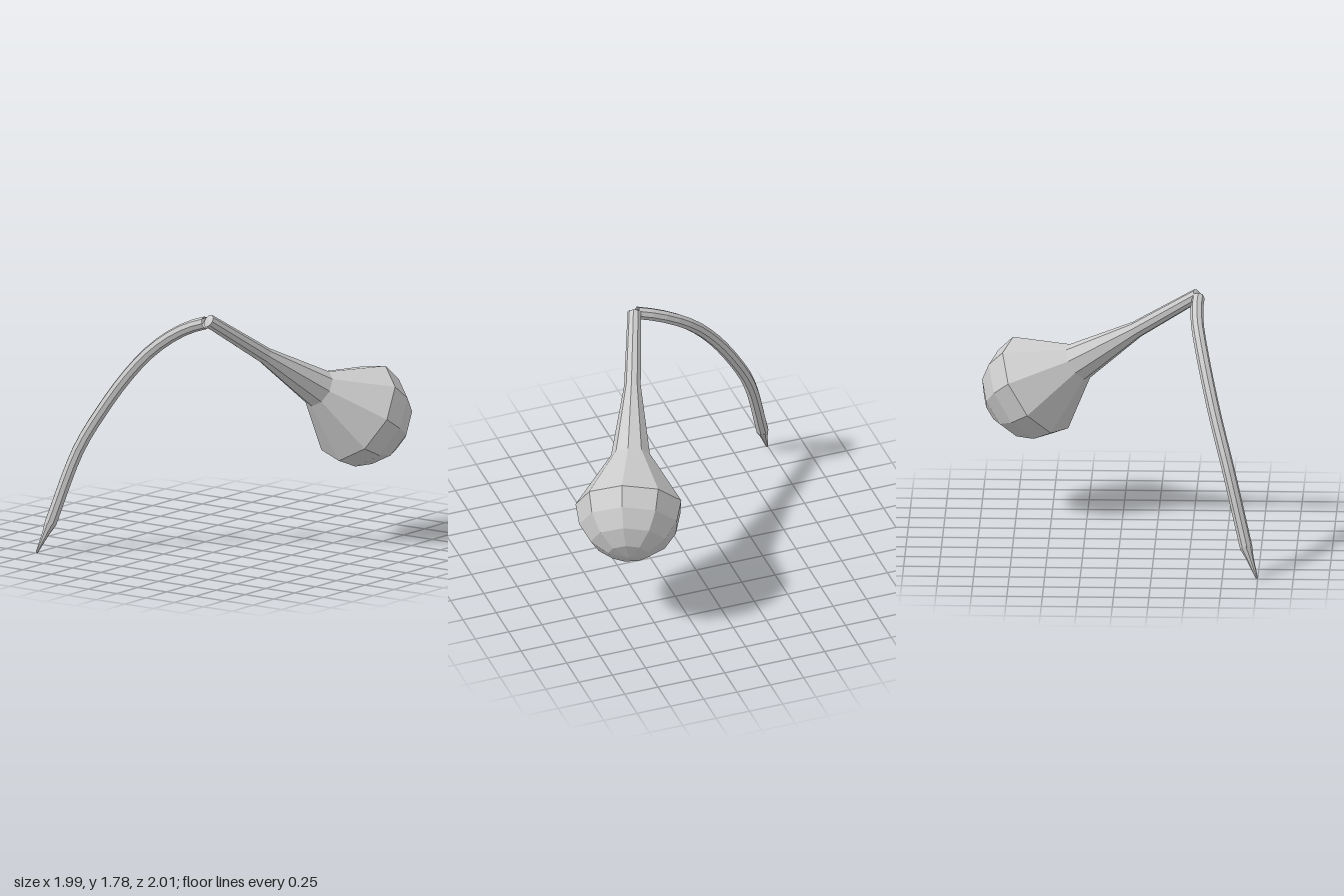
import * as THREE from 'three';

const material = new THREE.MeshStandardMaterial({ color: 0xcccccc, flatShading: true, side: THREE.DoubleSide });
const v3 = (x, y, z) => new THREE.Vector3(x, y, z);

// Lathe of [radius, distance] pairs, laid along the line from one point to another
function turned(name, profile, from, to, sides, turn) {
  const axis = to.clone().sub(from).normalize();
  const up = v3(0, 1, 0).addScaledVector(axis, -axis.y).normalize();
  const side = up.clone().cross(axis);
  const points = profile.map(([r, t]) => new THREE.Vector2(r, t));
  const geometry = new THREE.LatheGeometry(points, sides, turn);
  geometry.applyMatrix4(new THREE.Matrix4().makeBasis(up, axis, side).setPosition(from));
  const mesh = new THREE.Mesh(geometry, material);
  mesh.name = name;
  return mesh;
}

export function createModel() {
  const group = new THREE.Group();
  group.name = 'droopingBulb';

  // Neck flaring into the bulb, closed by a faceted dome
  const top = v3(-0.54, 1.74, 0.17);
  const bulbCentre = v3(0.605, 0.94, 0.63);
  const reach = top.distanceTo(bulbCentre);
  const radius = 0.382;
  const profile = [[0, -0.01], [0.048, 0], [0.06, 0.56], [0.14, 1.09]];
  const rings = 4;
  for (let i = 0; i <= rings; i++) {
    const a = (i / rings) * Math.PI / 2;
    profile.push([i === rings ? 0 : radius * Math.cos(a), reach + 0.395 * Math.sin(a)]);
  }
  group.add(turned('neckAndBulb', profile, top, bulbCentre, 9, THREE.MathUtils.degToRad(97.5)));

  // Long arching stem
  const path = new THREE.CatmullRomCurve3([
    v3(-0.545, 1.725, 0.15), v3(-0.54, 1.7, 0.07), v3(-0.545, 1.62, -0.1), v3(-0.58, 1.48, -0.29),
    v3(-0.63, 1.29, -0.46), v3(-0.695, 1.05, -0.62), v3(-0.785, 0.74, -0.78), v3(-0.917, 0.21, -0.93),
  ]);
  const stem = new THREE.Mesh(new THREE.TubeGeometry(path, 18, 0.045, 8), material);
  stem.name = 'stem';
  group.add(stem);

  // Pointed stem tip
  const end = path.getPoint(1);
  const tip = v3(-0.995, 0, -0.995);
  const length = end.distanceTo(tip);
  group.add(turned('stemTip', [[0.045, -0.005], [0.027, 0.08], [0.008, length - 0.005], [0, length]], end, tip, 8, 0));

  return group;
}
